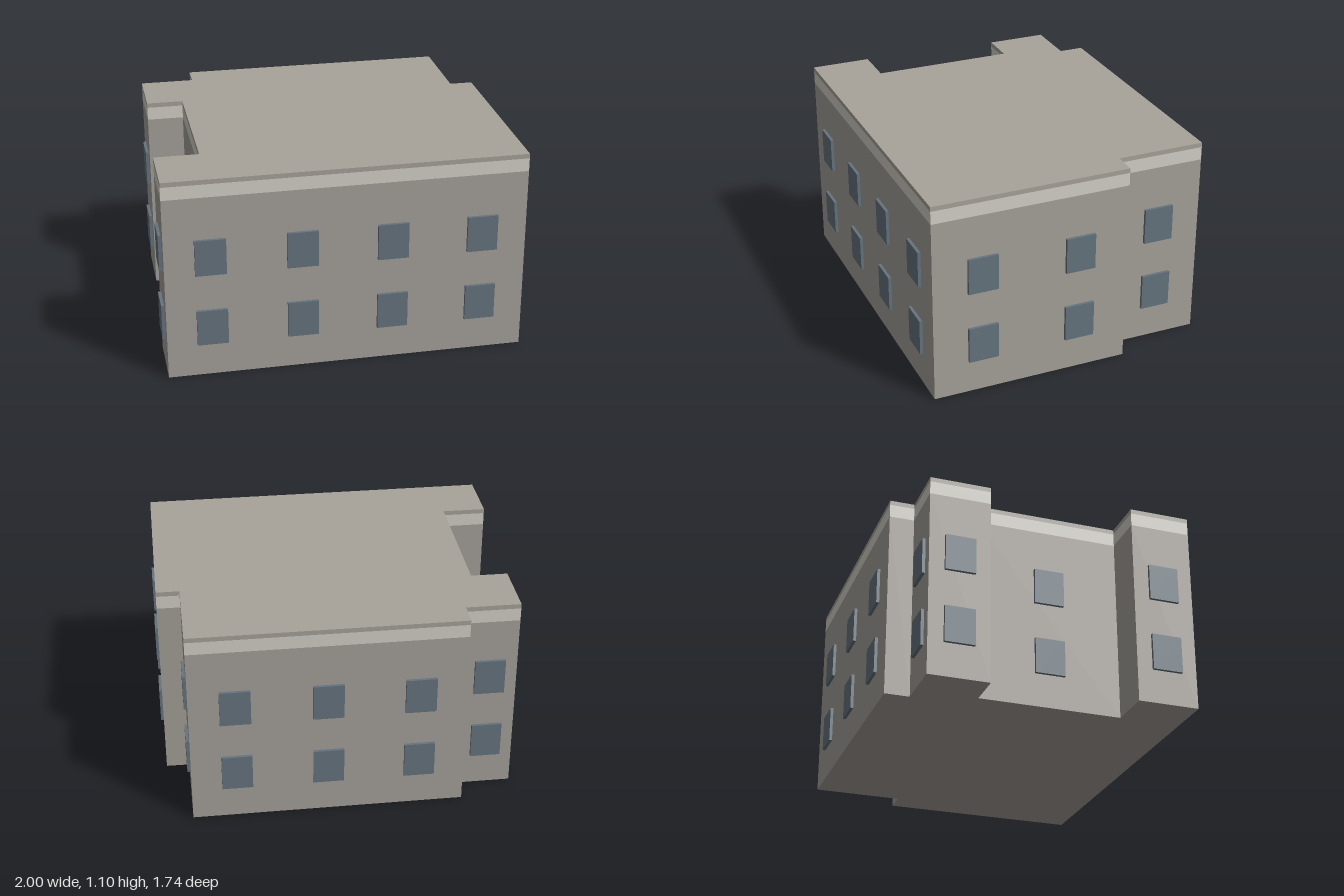
import * as THREE from 'three';

const mat = (name, color) => {
  const m = new THREE.MeshStandardMaterial({ color });
  m.name = name;
  return m;
};

// Footprint corners as [x, z], starting at the front left and running round the walls
const FOOTPRINT = [
  [-0.87, 0.865], [0.995, 0.645], [0.872, -0.41], [0.75, -0.397],
  [0.695, -0.87], [-0.725, -0.703], [-0.71, -0.573], [-0.995, -0.54],
  [-0.957, -0.218], [-0.765, -0.24], [-0.676, 0.516], [-0.908, 0.543],
];

export function createModel() {
  const model = new THREE.Group();
  model.name = 'building';
  const wallMat = mat('wall', 0xa6a19a);
  const bandMat = mat('cornice', 0xd4d1c8);
  const roofMat = mat('roof', 0xa8a39a);
  const glassMat = mat('window', 0x66747f);

  // Storeys of the same footprint stacked on one another
  const outline = new THREE.Shape(FOOTPRINT.map(([x, z]) => new THREE.Vector2(x, -z)));
  const addSlab = (name, material, bottom, top) => {
    const geo = new THREE.ExtrudeGeometry(outline, { depth: top - bottom, bevelEnabled: false });
    geo.rotateX(-Math.PI / 2);
    const mesh = new THREE.Mesh(geo, material);
    mesh.position.y = bottom;
    mesh.name = name;
    model.add(mesh);
  };
  addSlab('walls', wallMat, 0, 1.0);
  addSlab('cornice', bandMat, 1.0, 1.07);
  addSlab('roof', roofMat, 1.07, 1.095);

  // Two rows of evenly spaced windows on every wall that is wide enough
  const windows = new THREE.Group();
  windows.name = 'windows';
  const windowGeo = new THREE.BoxGeometry(0.16, 0.195, 0.032);
  FOOTPRINT.forEach(([x0, z0], i) => {
    const [x1, z1] = FOOTPRINT[(i + 1) % FOOTPRINT.length];
    const dx = x1 - x0, dz = z1 - z0;
    const length = Math.hypot(dx, dz);
    if (length < 0.26) return;
    const count = Math.max(1, Math.floor(length / 0.465));
    for (let k = 0; k < count; k++) {
      const t = (k + 0.5) / count;
      for (const y of [0.278, 0.674]) {
        const pane = new THREE.Mesh(windowGeo, glassMat);
        pane.position.set(x0 + dx * t, y, z0 + dz * t);
        pane.rotation.y = Math.atan2(-dz, dx);
        pane.name = 'window';
        windows.add(pane);
      }
    }
  });
  model.add(windows);
  return model;
}
